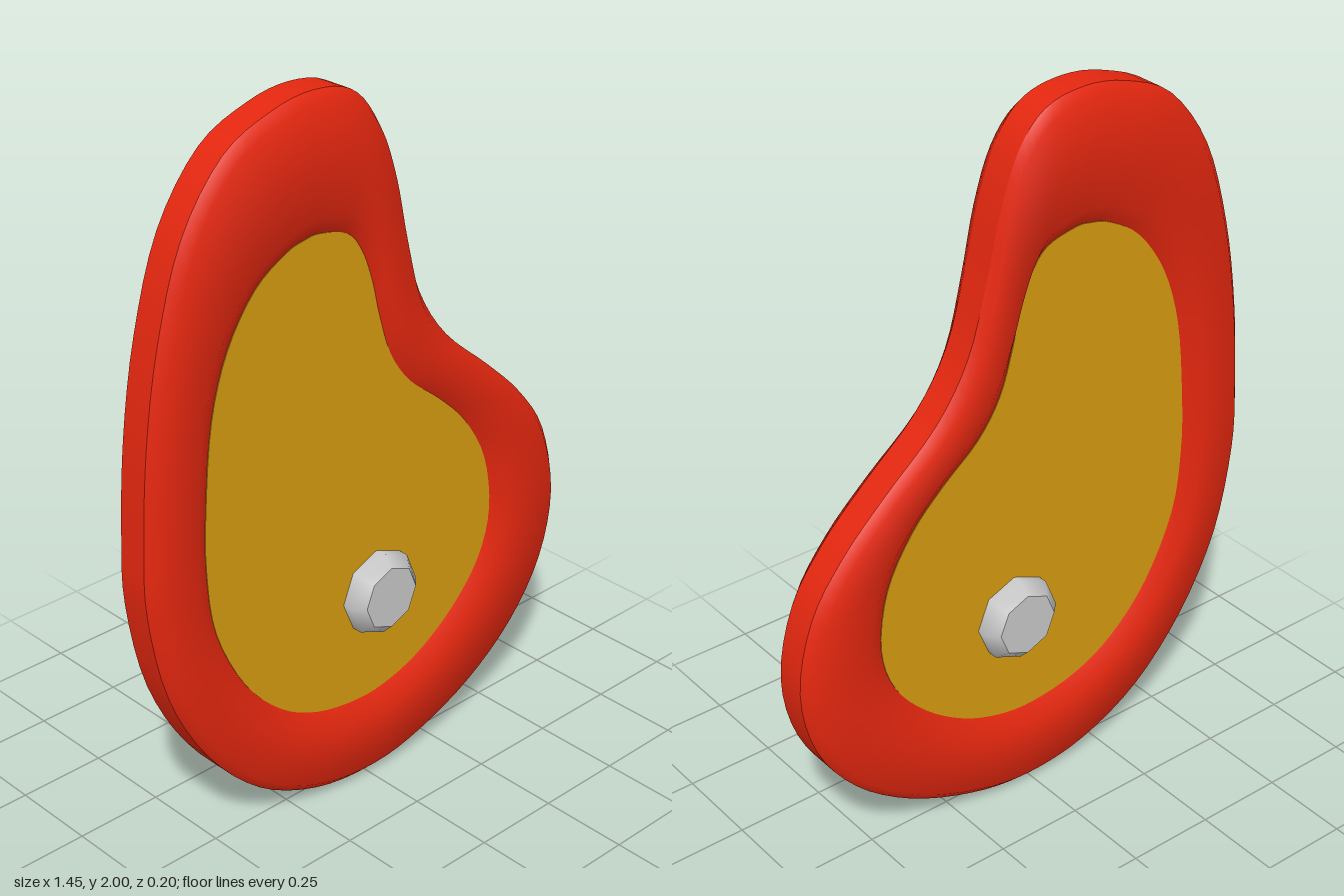
import * as THREE from 'three';
import { toCreasedNormals } from 'three/addons/utils/BufferGeometryUtils.js';

const red = new THREE.MeshStandardMaterial({ color: 0xe4270f });
red.name = 'red';
const gold = new THREE.MeshStandardMaterial({ color: 0xd69c10 });
gold.name = 'gold';
const grey = new THREE.MeshStandardMaterial({ color: 0xc8c8c8 });
grey.name = 'grey';

// Matching outer and inner outlines (x, y), clockwise from the top
const OUTER = [
  -0.17, 2.0, -0.05, 1.975, 0.03, 1.89, 0.085, 1.75, 0.13, 1.57, 0.19, 1.38, 0.29, 1.23,
  0.45, 1.09, 0.58, 0.965, 0.68, 0.82, 0.725, 0.62, 0.685, 0.42, 0.57, 0.25, 0.4, 0.12,
  0.2, 0.035, 0.02, 0.003, -0.18, 0.03, -0.38, 0.13, -0.55, 0.31, -0.67, 0.54, -0.725, 0.8,
  -0.725, 1.0, -0.705, 1.25, -0.66, 1.5, -0.58, 1.74, -0.45, 1.91, -0.3, 1.98,
];
const INNER = [
  -0.15, 1.635, -0.06, 1.61, -0.01, 1.55, 0.025, 1.46, 0.05, 1.36, 0.09, 1.24, 0.16, 1.14,
  0.27, 1.05, 0.37, 0.95, 0.45, 0.81, 0.475, 0.64, 0.435, 0.5, 0.34, 0.385, 0.22, 0.3,
  0.1, 0.255, -0.02, 0.243, -0.17, 0.27, -0.3, 0.34, -0.42, 0.47, -0.51, 0.66, -0.535, 0.85,
  -0.53, 1.03, -0.505, 1.25, -0.45, 1.42, -0.36, 1.55, -0.26, 1.615, -0.2, 1.632,
];
const STEPS = 108;

// Closed smooth loop through a flat list of x, y pairs
function loop(list) {
  const pts = [];
  for (let i = 0; i < list.length; i += 2) pts.push(new THREE.Vector3(list[i], list[i + 1], 0));
  const curve = new THREE.CatmullRomCurve3(pts, true, 'catmullrom', 0.5);
  return Array.from({ length: STEPS }, (_, i) => curve.getPoint(i / STEPS));
}

// Smooth band joining rows of equal-length closed loops
function band(rows) {
  const pos = [], index = [];
  rows.forEach(row => row.forEach(p => pos.push(p.x, p.y, p.z)));
  for (let r = 0; r < rows.length - 1; r++) {
    for (let j = 0; j < STEPS; j++) {
      const k = (j + 1) % STEPS;
      const a = r * STEPS + j, b = r * STEPS + k;
      index.push(a, a + STEPS, b, b, a + STEPS, b + STEPS);
    }
  }
  const geo = new THREE.BufferGeometry();
  geo.setAttribute('position', new THREE.Float32BufferAttribute(pos, 3));
  geo.setIndex(index);
  return toCreasedNormals(geo, Math.PI / 2);
}

export function createModel() {
  const model = new THREE.Group();
  const add = (name, geo, mat, parent = model) => {
    const mesh = new THREE.Mesh(geo, mat);
    mesh.name = name;
    parent.add(mesh);
    return mesh;
  };
  const outer = loop(OUTER), inner = loop(INNER);

  // Row of points a set distance in from the outer (or inner) edge
  const row = (from, to, inset, z) => from.map((p, i) => {
    const q = p.clone().lerp(to[i], inset / p.distanceTo(to[i]));
    q.z = z;
    return q;
  });

  // Curved rim: outer wall plus bevelled front and back faces
  const rim = new THREE.Group();
  rim.name = 'rim';
  model.add(rim);
  const face = s => [
    row(outer, inner, 0, s * 0.043),
    row(outer, inner, 0.027, s * 0.07),
    row(inner, outer, 0.05, s * 0.07),
    row(inner, outer, 0, s * 0.04),
  ];
  const front = face(1), back = face(-1);
  add('rimWall', band([back[0], front[0]]), red, rim);
  add('rimFront', band(front), red, rim);
  add('rimBack', band(back.reverse()), red, rim);

  // Flat panel filling the rim
  const shape = new THREE.Shape(inner.map(p => new THREE.Vector2(p.x, p.y)));
  const panel = new THREE.ExtrudeGeometry(shape, { depth: 0.084, bevelEnabled: false });
  panel.translate(0, 0, -0.042);
  add('panel', panel, gold);

  // Eight-sided hub passing through the panel
  const hub = new THREE.Group();
  hub.name = 'hub';
  hub.position.set(0.045, 0.56, 0);
  model.add(hub);
  const profile = [[0.09, -0.1], [0.12, -0.07], [0.12, 0.07], [0.09, 0.1]]
    .map(([r, y]) => new THREE.Vector2(r, y));
  add('hubSide', new THREE.LatheGeometry(profile, 8).rotateX(Math.PI / 2), grey, hub);
  for (const s of [1, -1]) {
    const cap = add(s > 0 ? 'hubFrontCap' : 'hubBackCap', new THREE.CircleGeometry(0.09, 8), grey, hub);
    cap.position.z = s * 0.1;
    if (s < 0) cap.rotation.y = Math.PI;
  }
  return model;
}
